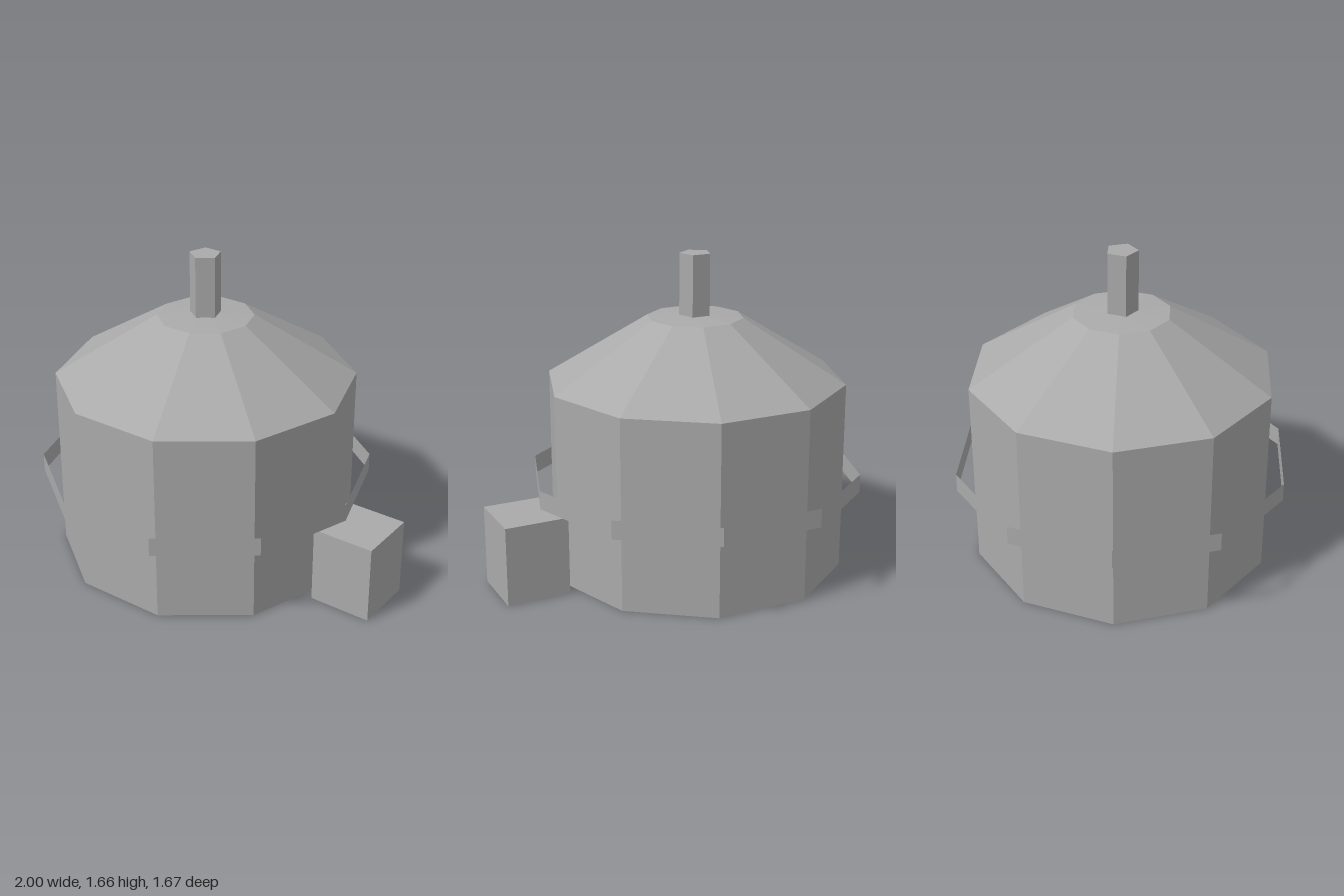
import * as THREE from 'three';

const SIDES = 10;
const CENTRE_X = -0.123;

export function createModel() {
  const model = new THREE.Group();
  model.name = 'storageTank';

  const metal = new THREE.MeshStandardMaterial({ color: 0xaaaaaa, flatShading: true, side: THREE.DoubleSide });
  metal.name = 'grey metal';

  const add = (name, geometry, x, y, z = 0) => {
    const mesh = new THREE.Mesh(geometry, metal);
    mesh.name = name;
    mesh.position.set(x, y, z);
    model.add(mesh);
  };

  // Open ten-sided ring with a corner pointing along +x
  const ring = (name, topRadius, bottomRadius, y0, y1) => add(
    name,
    new THREE.CylinderGeometry(topRadius, bottomRadius, y1 - y0, SIDES, 1, true, Math.PI / 2),
    CENTRE_X, (y0 + y1) / 2
  );

  // Tank shell, open at the bottom, with a two-slope roof
  ring('tankWall', 0.785, 0.785, 0, 1);
  ring('roof', 0.25, 0.785, 1, 1.33);
  ring('roofCap', 0, 0.25, 1.33, 1.345);

  // Thin hoop standing clear of the wall
  ring('hoop', 0.877, 0.877, 0.417, 0.515);

  // Five-sided chimney
  add('chimney', new THREE.CylinderGeometry(0.083, 0.083, 0.325, 5), CENTRE_X, 1.4985);

  // Box beside the tank
  add('sideBox', new THREE.BoxGeometry(0.332, 0.415, 0.328), 0.834, 0.2075);

  return model;
}
